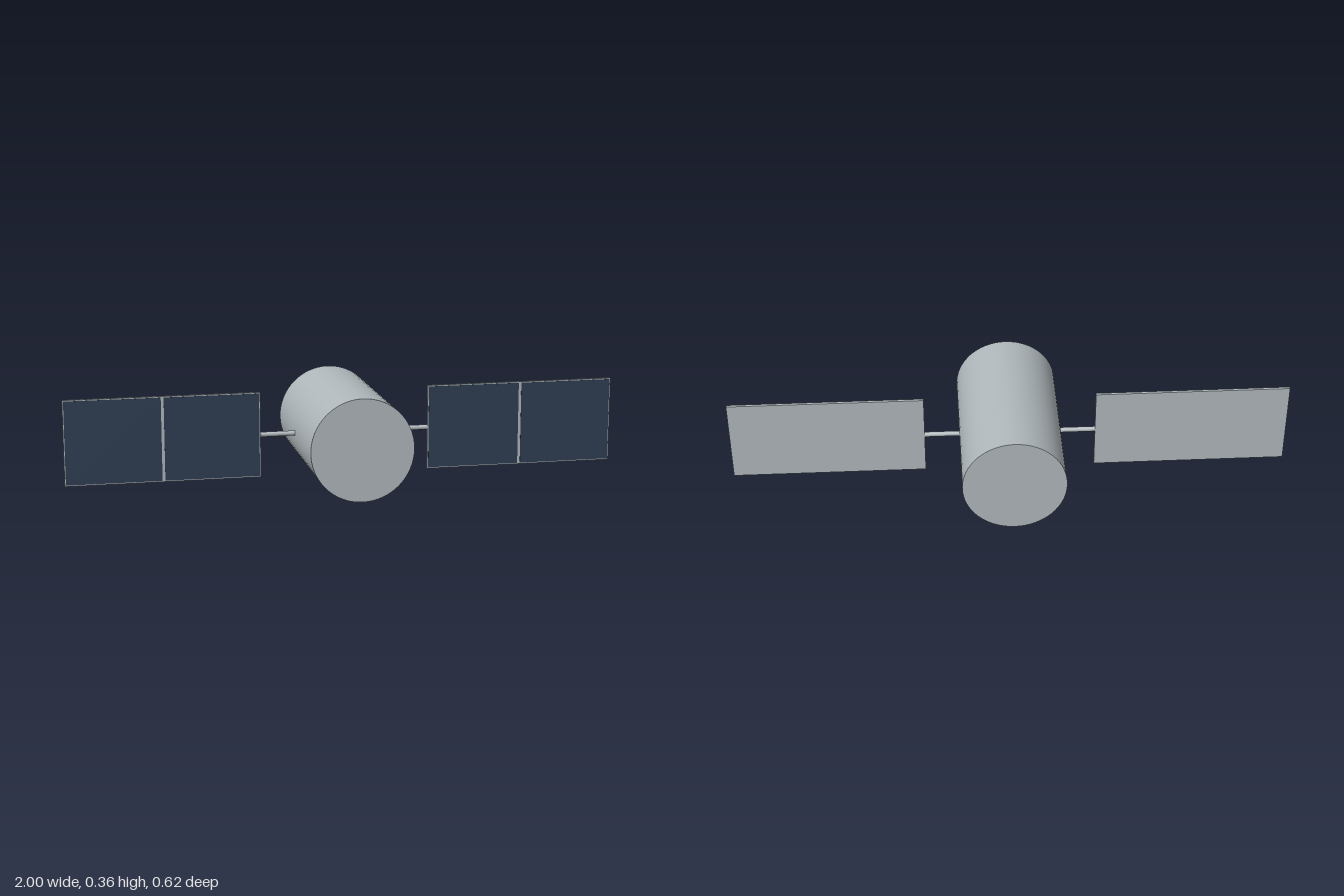
import * as THREE from 'three';

export function createModel() {
  const model = new THREE.Group();
  model.name = 'satellite';

  const metal = new THREE.MeshStandardMaterial({ color: 0xb0b8bc });
  metal.name = 'light grey metal';
  const navy = new THREE.MeshStandardMaterial({ color: 0x2f3f54 });
  navy.name = 'navy solar cell';

  const add = (parent, name, geometry, material, x, y, z) => {
    const mesh = new THREE.Mesh(geometry, material);
    mesh.name = name;
    mesh.position.set(x, y, z);
    parent.add(mesh);
    return mesh;
  };

  const radius = 0.182;
  const panelInner = 0.306, panelOuter = 1, panelHeight = 0.308, panelDepth = 0.01;
  const panelWidth = panelOuter - panelInner;
  const panelX = (panelInner + panelOuter) / 2;
  const panelY = 0.184;

  // Cylindrical body lying along z
  const body = new THREE.CylinderGeometry(radius, radius, 0.62, 64).rotateX(Math.PI / 2);
  add(model, 'body', body, metal, 0, radius, 0);

  // Mirrored wings: strut, panel and two cells on the front face
  const border = 0.004, gap = 0.01;
  const cellWidth = (panelWidth - 2 * border - gap) / 2;
  for (const [side, label] of [[1, 'left'], [-1, 'right']]) {
    const wing = new THREE.Group();
    wing.name = label + 'Wing';
    model.add(wing);

    const strutStart = 0.17;
    const strut = new THREE.CylinderGeometry(0.009, 0.009, panelInner - strutStart, 20).rotateZ(Math.PI / 2);
    add(wing, 'strut', strut, metal, side * (strutStart + panelInner) / 2, panelY, 0);

    const panel = new THREE.BoxGeometry(panelWidth, panelHeight, panelDepth);
    add(wing, 'solarPanel', panel, metal, side * panelX, panelY, 0);

    for (const s of [-1, 1]) {
      const cell = new THREE.BoxGeometry(cellWidth, panelHeight - 2 * border, 0.001);
      const x = side * panelX + s * (cellWidth + gap) / 2;
      add(wing, 'solarCell', cell, navy, x, panelY, panelDepth / 2 + 0.0005);
    }
  }
  return model;
}
